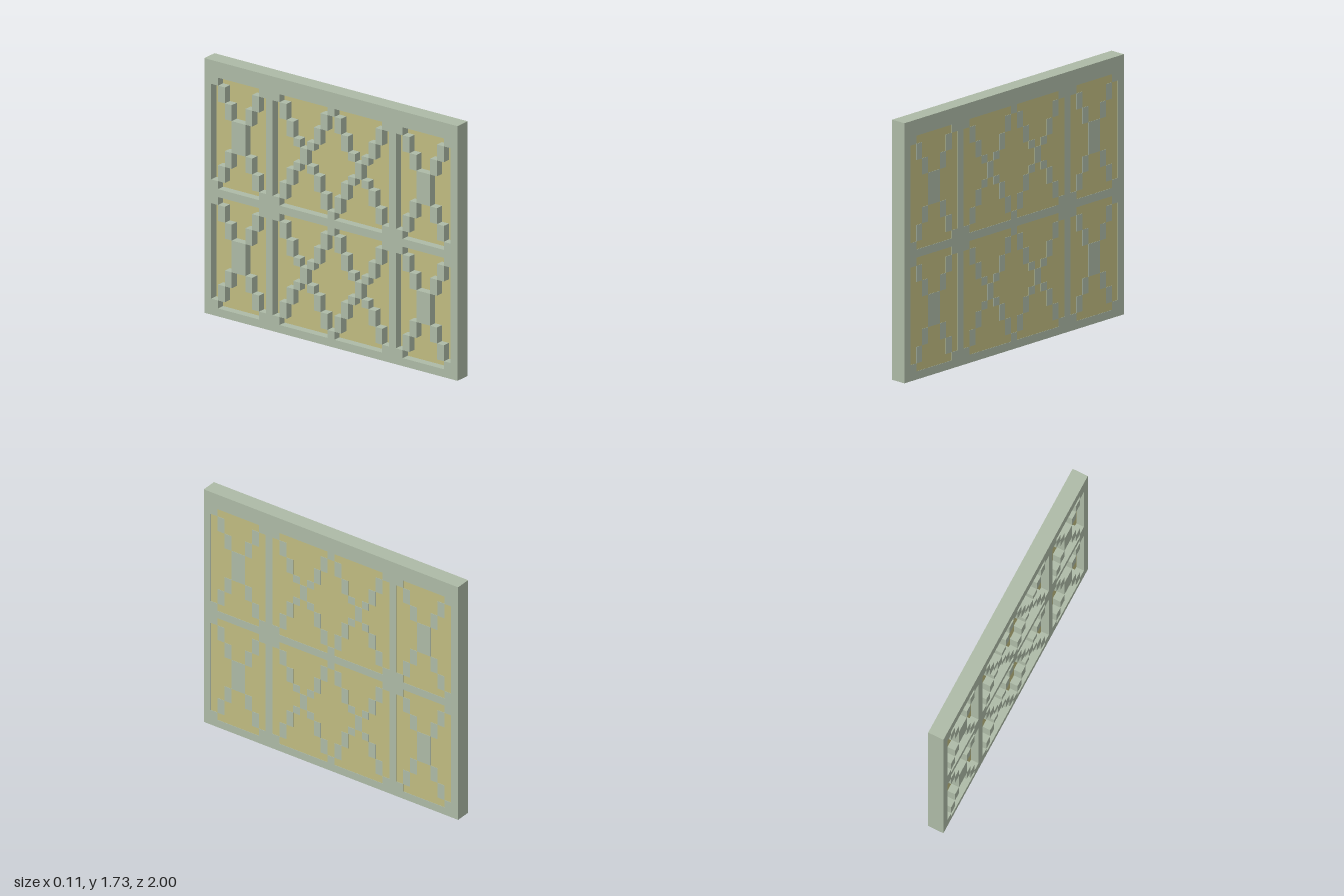
import * as THREE from 'three';

const S = 2 / 37;            // one block of the 37 x 32 block panel
const W = 37, H = 32;
const BASES = [1, 16];       // bottom row of each tier of windows
const X = (c) => (c - W / 2) * S;

// stepped window outline from column a to b, optionally with centre notches
function opening(a, b, y, notched) {
  const p = [[a, 1], [a + 1, 1], [a + 1, 0]];
  if (notched) p.push([18, 0], [18, 1], [19, 1], [19, 0]);
  p.push([b - 1, 0], [b - 1, 1], [b, 1], [b, 13], [b - 1, 13], [b - 1, 14]);
  if (notched) p.push([19, 14], [19, 13], [18, 13], [18, 14]);
  p.push([a + 1, 14], [a + 1, 13], [a, 13]);
  return new THREE.Path(p.map(([c, r]) => new THREE.Vector2(X(c), (y + r) * S)));
}

export function createModel() {
  const stone = new THREE.MeshStandardMaterial({ color: 0xadbaa6 });
  stone.name = 'paleGreenFrame';
  const gold = new THREE.MeshStandardMaterial({ color: 0xbfbb80 });
  gold.name = 'yellowPane';

  const root = new THREE.Group();
  root.name = 'latticeWindow';
  const panel = new THREE.Group();
  panel.name = 'panel';
  panel.rotation.y = Math.PI / 2;   // local z becomes the thickness along x
  root.add(panel);

  // box spanning columns c0..c1, rows r0..r1 and depth z0..z1
  const block = (name, mat, c0, c1, r0, r1, z0, z1) => {
    const m = new THREE.Mesh(new THREE.BoxGeometry((c1 - c0) * S, (r1 - r0) * S, z1 - z0), mat);
    m.position.set((X(c0) + X(c1)) / 2, (r0 + r1) / 2 * S, (z0 + z1) / 2);
    m.name = name;
    panel.add(m);
  };

  // frame with six stepped openings
  const outline = new THREE.Shape([
    new THREE.Vector2(X(0), 0), new THREE.Vector2(X(W), 0),
    new THREE.Vector2(X(W), H * S), new THREE.Vector2(X(0), H * S),
  ]);
  const windows = [[1, 9], [10, 27], [28, 36]];
  for (const y of BASES)
    for (const [a, b] of windows) outline.holes.push(opening(a, b, y, b - a > 8));
  const frameGeo = new THREE.ExtrudeGeometry(outline, { depth: 2 * S, bevelEnabled: false });
  frameGeo.translate(0, 0, -S);
  const frame = new THREE.Mesh(frameGeo, stone);
  frame.name = 'frame';
  panel.add(frame);

  // lattice pieces in the left half: [columns, first row, row count, width]
  const pieces = [
    [[2, 7], 1, 2, 1], [[3, 6], 3, 2, 1], [[4], 5, 4, 2], [[3, 6], 9, 2, 1], [[2, 7], 11, 2, 1],
    [[11, 17], 1, 2, 1], [[12, 16], 3, 2, 1], [[13, 15], 5, 1, 1], [[14], 6, 2, 1],
    [[13, 15], 8, 1, 1], [[12, 16], 9, 2, 1], [[11, 17], 11, 2, 1],
  ];
  for (const y of BASES) {
    // panes fill the half of the thickness on one face, a hair below the lattice
    for (const [a, b] of windows) block('pane', gold, a, b, y, y + 14, 0, S - 0.002);
    for (const [cols, r, n, w] of pieces)
      for (const c of cols) {
        block('lattice', stone, c, c + w, y + r, y + r + n, -S, S);
        block('lattice', stone, W - c - w, W - c, y + r, y + r + n, -S, S);
      }
  }
  return root;
}
